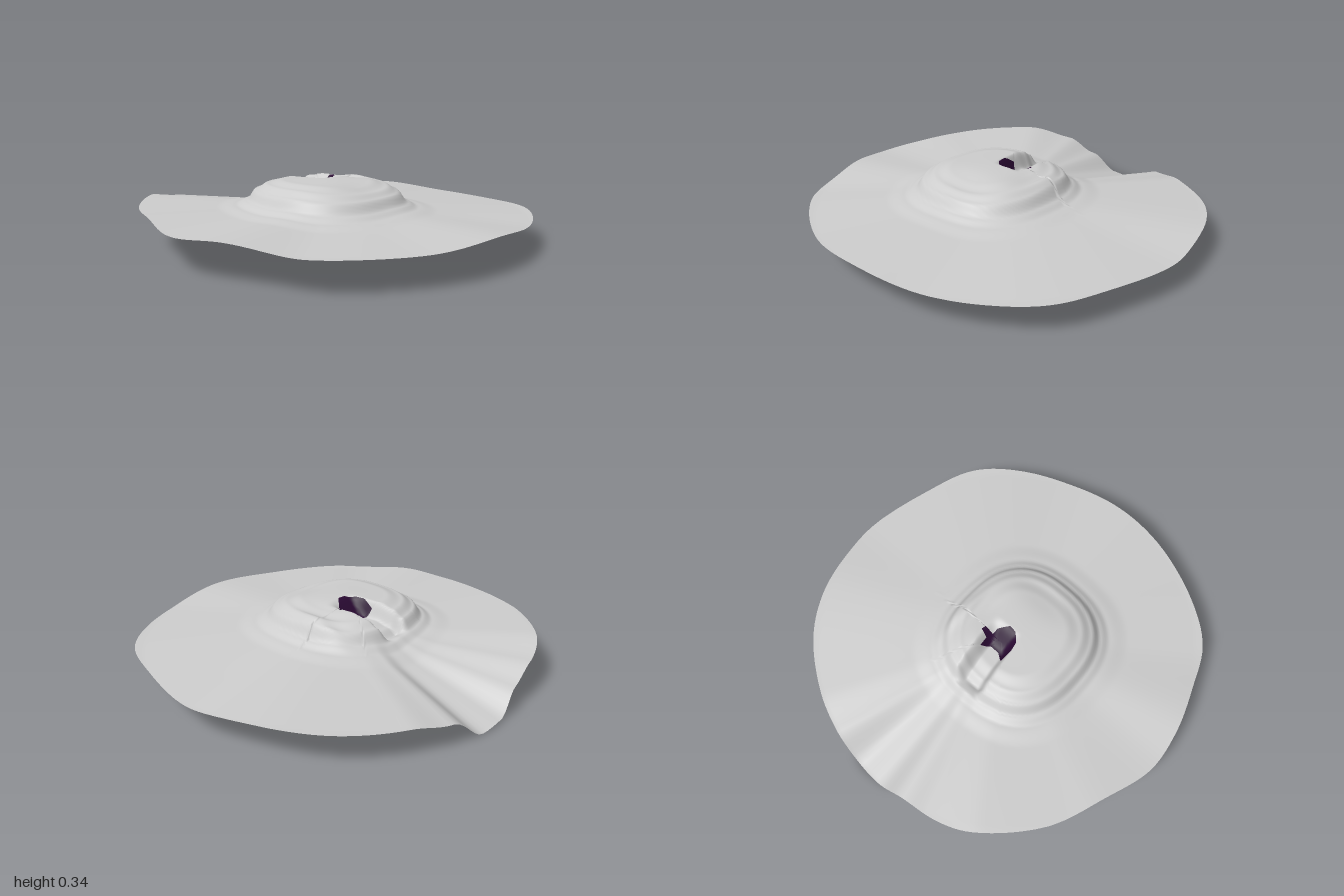
import * as THREE from 'three';

const smooth = (a, b, v) => THREE.MathUtils.smoothstep(v, a, b);
const bump = (x, z, cx, cz, sx, sz) => Math.exp(-(((x - cx) / sx) ** 2) - ((z - cz) / sz) ** 2);

// eased interpolation through [key, value] pairs
function ramp(keys, v) {
  for (let i = 1; i < keys.length; i++) {
    const [a, ya] = keys[i - 1], [b, yb] = keys[i];
    if (v <= b) return ya + (yb - ya) * smooth(a, b, v);
  }
  return keys[keys.length - 1][1];
}

// distance from a centre to a closed outline along an angle
function reach(poly, cx, cz, angle) {
  const dx = Math.cos(angle), dz = Math.sin(angle);
  let best = 0;
  poly.forEach((p, i) => {
    const q = poly[(i + 1) % poly.length];
    const ex = q.x - p.x, ez = q.y - p.y, det = dz * ex - dx * ez;
    if (Math.abs(det) < 1e-9) return;
    const px = p.x - cx, pz = p.y - cz;
    const t = (ex * pz - ez * px) / det, u = (dx * pz - dz * px) / det;
    if (t > best && u >= -1e-6 && u <= 1 + 1e-6) best = t;
  });
  return best;
}

const toPoints = (list) => list.map(([x, z]) => new THREE.Vector2(x, z));

// wavy outer edge of the brim, as x, z
const brimOutline = new THREE.CatmullRomCurve3([
  [0, -0.995], [-0.18, -0.965], [-0.38, -0.935], [-0.55, -0.86], [-0.8, -0.6], [-0.92, -0.31],
  [-1, -0.05], [-0.98, 0.17], [-0.9, 0.42], [-0.8, 0.65], [-0.6, 0.82], [-0.3, 0.955],
  [0, 0.99], [0.3, 0.945], [0.6, 0.82], [0.82, 0.63], [0.93, 0.34], [1, 0], [0.98, -0.2],
  [0.9, -0.47], [0.76, -0.68], [0.5, -0.87], [0.25, -0.965],
].map(([x, z]) => new THREE.Vector3(x, 0, z)), true)
  .getPoints(160).slice(0, -1).map((p) => new THREE.Vector2(p.x, p.z));

// ragged dark patch at the crown
const patchOutline = toPoints([
  [-0.1, -0.155], [-0.05, -0.12], [0, -0.12], [0.035, -0.16], [0.04, -0.11], [0.08, -0.1],
  [0.075, -0.075], [0.03, -0.075], [0.025, -0.04], [-0.02, 0.005], [-0.06, 0], [-0.1, -0.04], [-0.11, -0.09],
]);

// rim height by angle in degrees (0 = +x, 90 = +z), low at the back
const rimHeight = [
  [0, 0.14], [40, 0.15], [65, 0.145], [90, 0.17], [115, 0.15], [142, 0.155], [165, 0.19], [180, 0.175],
  [205, 0.2], [235, 0.21], [250, 0.17], [260, 0.105], [269, 0.012], [277, 0.0], [288, 0.115],
  [300, 0.145], [335, 0.165], [360, 0.14],
];
// crown height above the brim by distance from the crown centre
const crownProfile = [
  [0, 0.145], [0.55, 0.14], [0.75, 0.122], [0.9, 0.09], [1.02, 0.035], [1.15, 0.012], [1.4, 0],
];

function height(x, z) {
  const r = Math.hypot(x, z);
  const deg = (THREE.MathUtils.radToDeg(Math.atan2(z, x)) + 360) % 360;
  const t = THREE.MathUtils.clamp((r - 0.32) / 0.67, 0, 1);
  let y = 0.192 + (ramp(rimHeight, deg) - 0.192) * t ** 0.95;
  // rounded crown, softer toward the front
  const dx = Math.abs(x + 0.08) / 0.37, dz = Math.abs(z - 0.02) / 0.385;
  const d = (dx ** 2.5 + dz ** 2.5) ** 0.4;
  y += ramp(crownProfile, d);
  y -= 0.022 * bump(x, z, -0.05, 0.27, 0.2, 0.09);
  // lip on the left shoulder and shallow dent beside it
  y += 0.022 * bump(x, z, 0.23, -0.08, 0.035, 0.14);
  y -= 0.015 * bump(x, z, 0.14, -0.03, 0.06, 0.14);
  // trough running from the patch to the back of the crown
  const side = x + 0.035 - 0.1 * (z + 0.2);
  const across = smooth(-0.09, -0.045, side) * (1 - smooth(0.03, 0.1, side));
  const along = smooth(-0.375, -0.32, z) * (1 - smooth(-0.12, 0.01, z));
  y -= across * along * 0.085;
  return Math.max(0, y);
}

export function createModel() {
  const felt = new THREE.MeshStandardMaterial({ color: 0xcccccc, side: THREE.DoubleSide });
  felt.name = 'light grey';
  const dark = new THREE.MeshStandardMaterial({ color: 0x2a0a33, side: THREE.DoubleSide });
  dark.name = 'dark purple';

  // rings around the patch, first filling it and then spreading to the rim
  const cx = -0.03, cz = -0.075, SEG = 192, INNER = 6, OUTER = 90;
  const pos = [], index = [];
  for (let i = 0; i <= INNER + OUTER; i++) {
    for (let j = 0; j < SEG; j++) {
      const a = (j / SEG) * Math.PI * 2;
      const r0 = reach(patchOutline, cx, cz, a), r1 = reach(brimOutline, cx, cz, a);
      const r = i <= INNER ? (r0 * i) / INNER : r0 + (r1 - r0) * ((i - INNER) / OUTER) ** 1.15;
      const x = cx + Math.cos(a) * r, z = cz + Math.sin(a) * r;
      pos.push(x, height(x, z), z);
    }
  }
  for (let i = 0; i < INNER + OUTER; i++) {
    for (let j = 0; j < SEG; j++) {
      const k = (j + 1) % SEG;
      const a = i * SEG + j, d = i * SEG + k, b = a + SEG, c = d + SEG;
      if (i > 0) index.push(a, d, b);
      index.push(d, c, b);
    }
  }
  const geo = new THREE.BufferGeometry();
  geo.setAttribute('position', new THREE.Float32BufferAttribute(pos, 3));
  geo.setIndex(index);
  geo.computeVertexNormals();
  const split = (2 * INNER - 1) * SEG * 3;
  geo.addGroup(0, split, 1);
  geo.addGroup(split, index.length - split, 0);

  const sheet = new THREE.Mesh(geo, [felt, dark]);
  sheet.name = 'brimAndCrown';
  const group = new THREE.Group();
  group.name = 'softDisc';
  group.add(sheet);
  return group;
}
